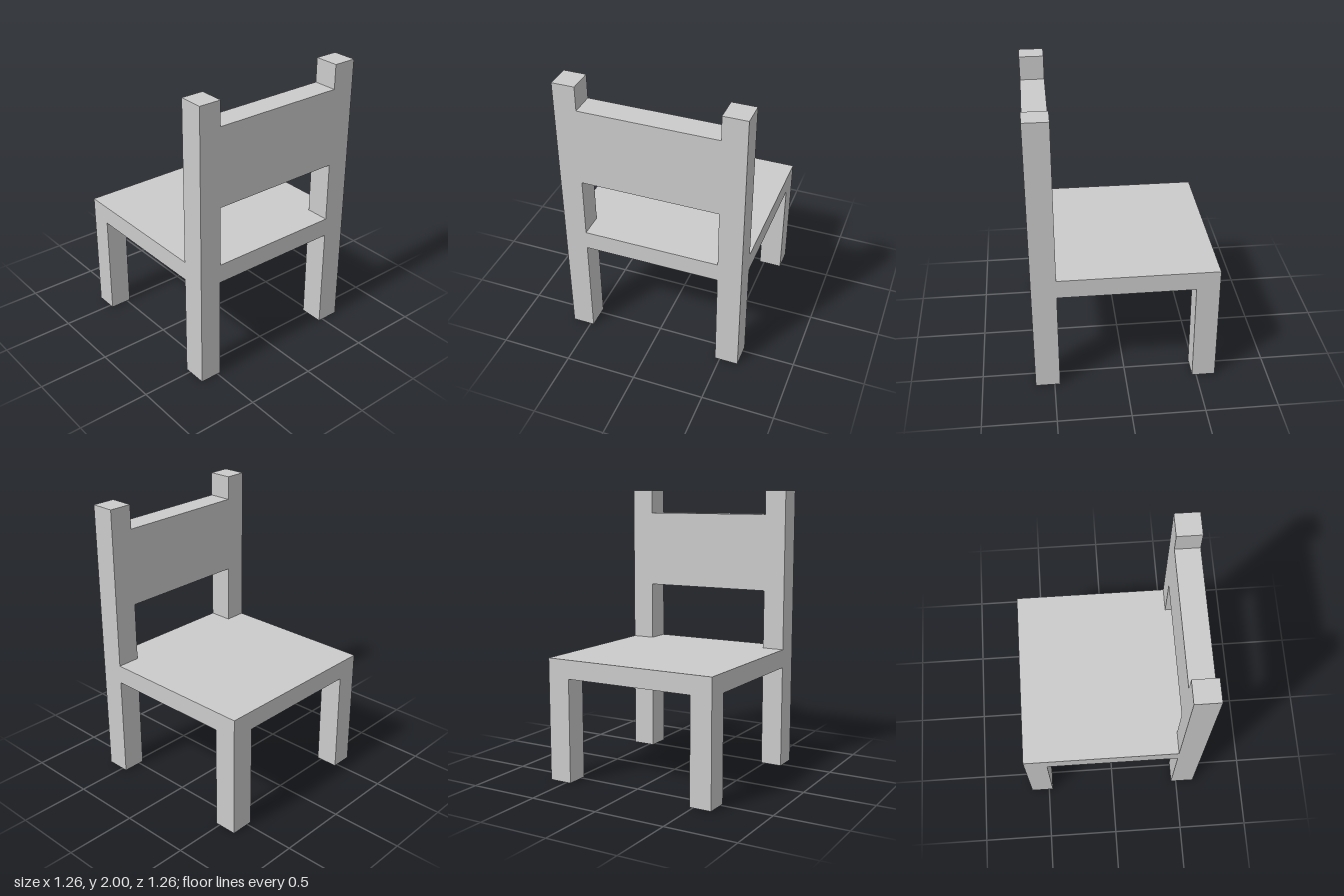
import * as THREE from 'three';

const material = new THREE.MeshStandardMaterial({ color: 0xcccccc, flatShading: true });

// Box given by its [min, max] extent on each axis
function block(name, [x0, x1], [y0, y1], [z0, z1]) {
  const mesh = new THREE.Mesh(new THREE.BoxGeometry(x1 - x0, y1 - y0, z1 - z0), material);
  mesh.position.set((x0 + x1) / 2, (y0 + y1) / 2, (z0 + z1) / 2);
  mesh.name = name;
  return mesh;
}

export function createModel() {
  const chair = new THREE.Group();
  chair.name = 'chair';

  const half = 0.632;
  const sides = { Right: [-half, -0.477], Left: [0.467, half] };
  const between = [-0.477, 0.467];
  const seatY = [0.735, 0.867];
  const backZ = [0.462, half];

  // Tall posts at +z and short legs at -z, one pair per side
  for (const [side, x] of Object.entries(sides)) {
    chair.add(block('backPost' + side, x, [0, 2], backZ));
    chair.add(block('seatLeg' + side, x, [0, seatY[0]], [-half, -0.471]));
  }

  // Seat slab, and its continuation between the posts
  chair.add(block('seat', [-half, half], seatY, [-half, backZ[0]]));
  chair.add(block('seatRail', between, seatY, backZ));

  // Backrest panel flush with the posts
  chair.add(block('backrest', between, [1.285, 1.831], backZ));

  return chair;
}
